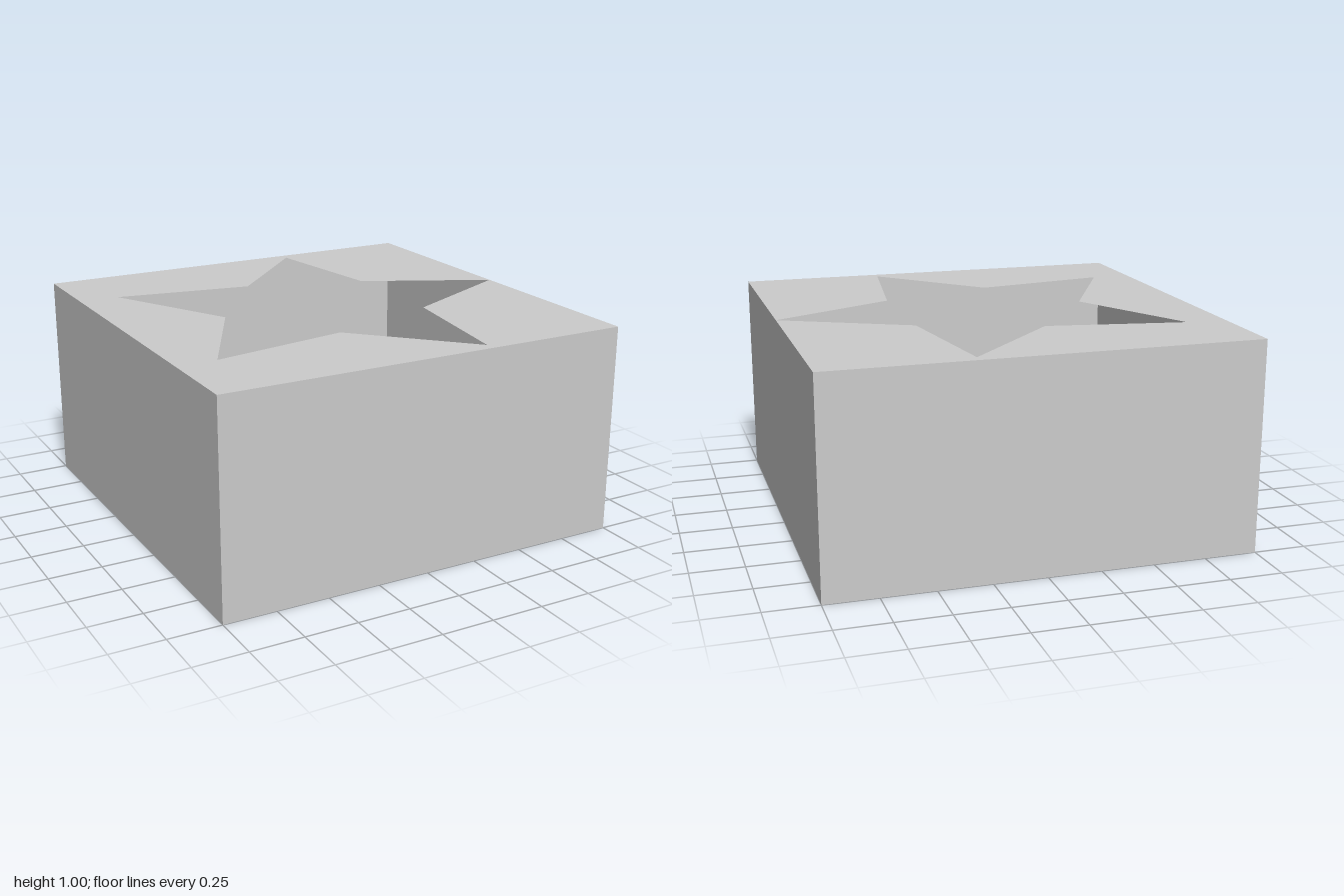
import * as THREE from 'three';

const SIZE = 2, HEIGHT = 1, TIP = 1, NOTCH = 0.5;

// Half of the lid: a rectangle with half of the five-pointed star cut away
function halfLid(side) {
  const h = SIZE / 2;
  const points = [[TIP, 0], [h, h], [-h, h], [-h, 0]];
  for (let i = 5; i >= 1; i--) {
    const r = i % 2 ? NOTCH : TIP;
    const a = (i * Math.PI) / 5;
    points.push([r * Math.cos(a), i === 5 ? 0 : r * Math.sin(a)]);
  }
  const shape = new THREE.Shape(points.map(([x, y]) => new THREE.Vector2(x, y * side)));
  return new THREE.ShapeGeometry(shape).rotateX(-Math.PI / 2);
}

export function createModel() {
  const model = new THREE.Group();
  model.name = 'starBox';
  const material = new THREE.MeshStandardMaterial({ color: 0xcccccc, side: THREE.DoubleSide });

  // Thin hollow body: four walls and a floor, the box's top face left out
  const body = new THREE.BoxGeometry(SIZE, HEIGHT, SIZE);
  const index = Array.from(body.index.array);
  index.splice(12, 6);
  body.setIndex(index);
  body.clearGroups();
  const bodyMesh = new THREE.Mesh(body, material);
  bodyMesh.name = 'body';
  bodyMesh.position.y = HEIGHT / 2;
  model.add(bodyMesh);

  // Thin lid with the star opening, in two mirrored halves
  const lid = new THREE.Group();
  lid.name = 'lid';
  lid.position.y = HEIGHT;
  for (const side of [1, -1]) {
    const half = new THREE.Mesh(halfLid(side), material);
    half.name = side > 0 ? 'backLidHalf' : 'frontLidHalf';
    lid.add(half);
  }
  model.add(lid);
  return model;
}
